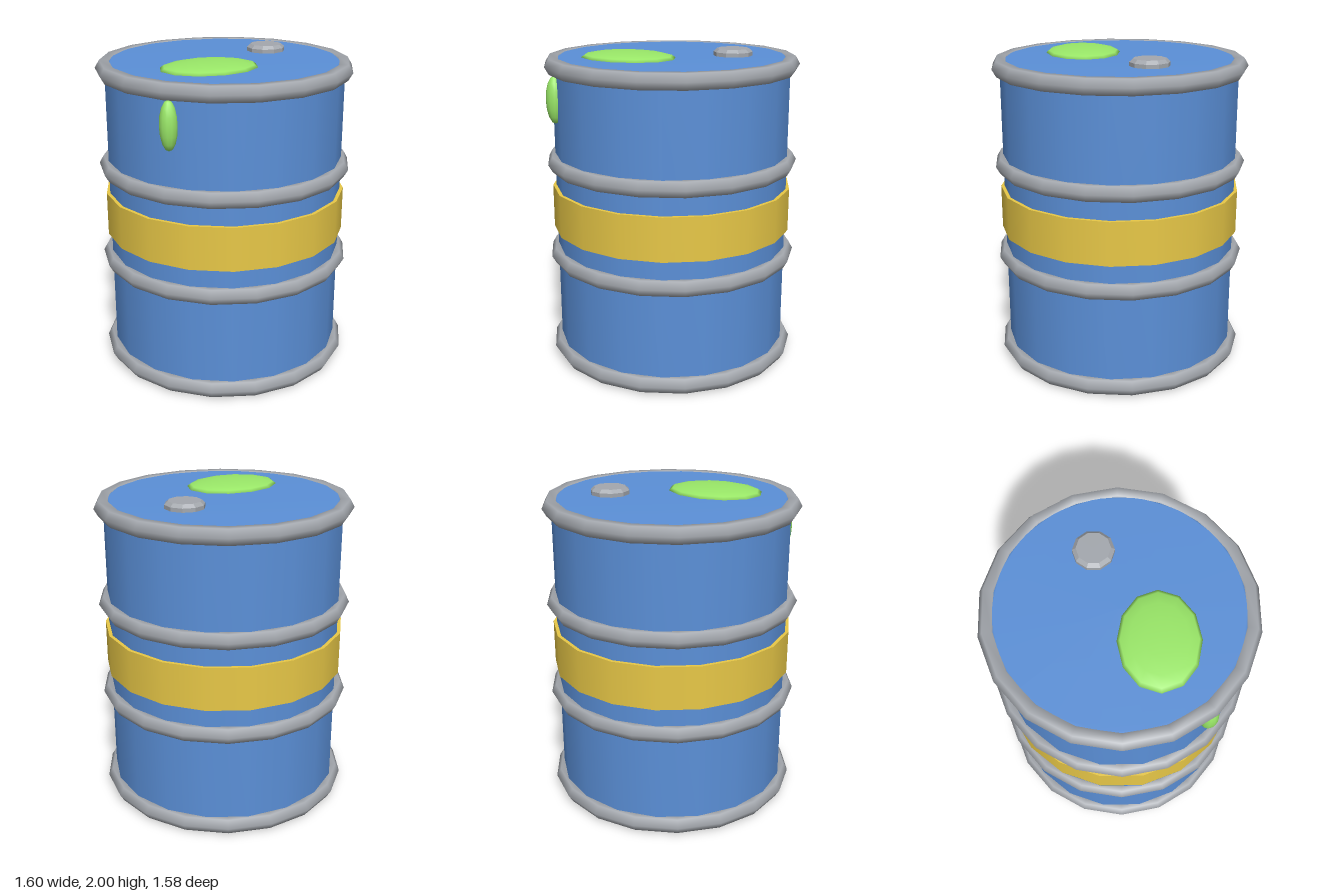
import * as THREE from 'three';

const SIDES = 18;
const paint = (color) => new THREE.MeshStandardMaterial({ color });

export function createModel() {
  const barrel = new THREE.Group();
  barrel.name = 'barrel';
  const blue = paint(0x5b90d8), steel = paint(0xa4a8ae), yellow = paint(0xe8c847), green = paint(0x9ae868);

  const add = (name, geometry, material, x = 0, y = 0, z = 0) => {
    const mesh = new THREE.Mesh(geometry, material);
    mesh.name = name;
    mesh.position.set(x, y, z);
    barrel.add(mesh);
    return mesh;
  };
  const lathe = (points, sides) =>
    new THREE.LatheGeometry(points.map(([r, y]) => new THREE.Vector2(r, y)), sides);

  // Drum body with slightly chamfered ends; the rims cover the chamfers
  add('body', lathe([[0, 0], [0.69, 0], [0.735, 0.02], [0.745, 0.05], [0.745, 1.91], [0.735, 1.94],
    [0.71, 1.956], [0, 1.956]], SIDES), blue);

  // End rims and rolling hoops
  [['bottomRim', 0.06], ['lowerHoop', 0.695], ['upperHoop', 1.3], ['topRim', 1.91]].forEach(([name, y]) => {
    const ring = new THREE.TorusGeometry(0.745, 0.055, 6, SIDES).rotateX(Math.PI / 2);
    add(name, ring, steel, 0, y);
  });

  // Painted band around the middle
  add('band', new THREE.CylinderGeometry(0.767, 0.767, 0.275, SIDES), yellow, 0, 0.998);

  // Bung cap on the lid, with a chamfered top
  const cap = lathe([[0.122, 1.93], [0.122, 1.98], [0.1, 2], [0, 2]], 10).toNonIndexed();
  cap.computeVertexNormals();
  add('bungCap', cap, steel, 0.356, 0, -0.142);

  // Spilled slime: a puddle on the lid and a drip down the side
  const blob = () => new THREE.SphereGeometry(1, 12, 8);
  add('slimePuddle', blob(), green, -0.195, 1.957, 0.215).scale.set(0.305, 0.04, 0.236);
  add('slimeDrip', blob(), green, -0.56, 1.712, 0.49).scale.set(0.055, 0.148, 0.055);

  return barrel;
}
